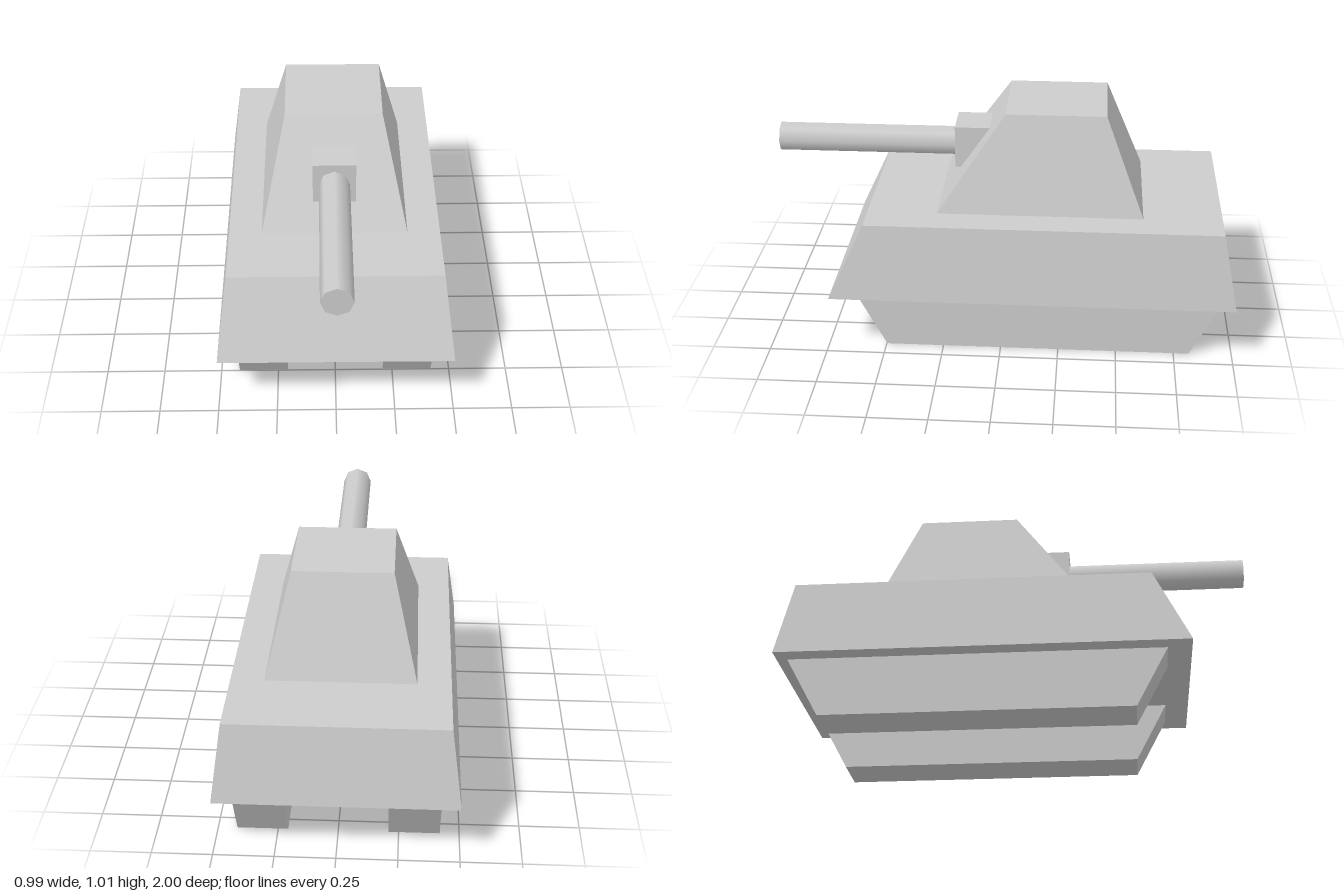
import * as THREE from 'three';

// Box whose bottom and top rectangles differ; each is [x0, x1, z0, z1, y]
function taperedBox(bottom, top) {
  const g = new THREE.BoxGeometry(1, 1, 1);
  const p = g.attributes.position;
  for (let i = 0; i < p.count; i++) {
    const r = p.getY(i) > 0 ? top : bottom;
    p.setXYZ(i, p.getX(i) > 0 ? r[1] : r[0], r[4], p.getZ(i) > 0 ? r[3] : r[2]);
  }
  g.computeVertexNormals();
  return g;
}

export function createModel() {
  const model = new THREE.Group();
  model.name = 'tank';
  const grey = new THREE.MeshStandardMaterial({ color: 0xcccccc });
  grey.name = 'light grey';

  const add = (name, geometry) => {
    const mesh = new THREE.Mesh(geometry, grey);
    mesh.name = name;
    model.add(mesh);
    return mesh;
  };

  // Body with sloped sides
  add('hull', taperedBox([-0.497, 0.497, -1, 0.733, 0.255], [-0.453, 0.453, -0.935, 0.578, 0.587]));
  add('turret', taperedBox([-0.313, 0.313, -0.6, 0.28, 0.587], [-0.21, 0.21, -0.435, -0.008, 1.007]));

  // Tracks, narrowing in length towards the ground
  for (const [name, x0, x1] of [['leftTrack', 0.208, 0.42], ['rightTrack', -0.42, -0.208]]) {
    add(name, taperedBox([x0, x1, -0.815, 0.497, 0], [x0, x1, -0.955, 0.633, 0.255]));
  }

  // Gun: square mount set into the turret and an eight-sided barrel
  add('gunMount', new THREE.BoxGeometry(0.184, 0.185, 0.2)).position.set(0, 0.803, 0.12);
  const barrel = add('gunBarrel', new THREE.CylinderGeometry(0.066, 0.066, 0.8, 8));
  barrel.rotation.x = Math.PI / 2;
  barrel.position.set(0, 0.799, 0.6);

  return model;
}
